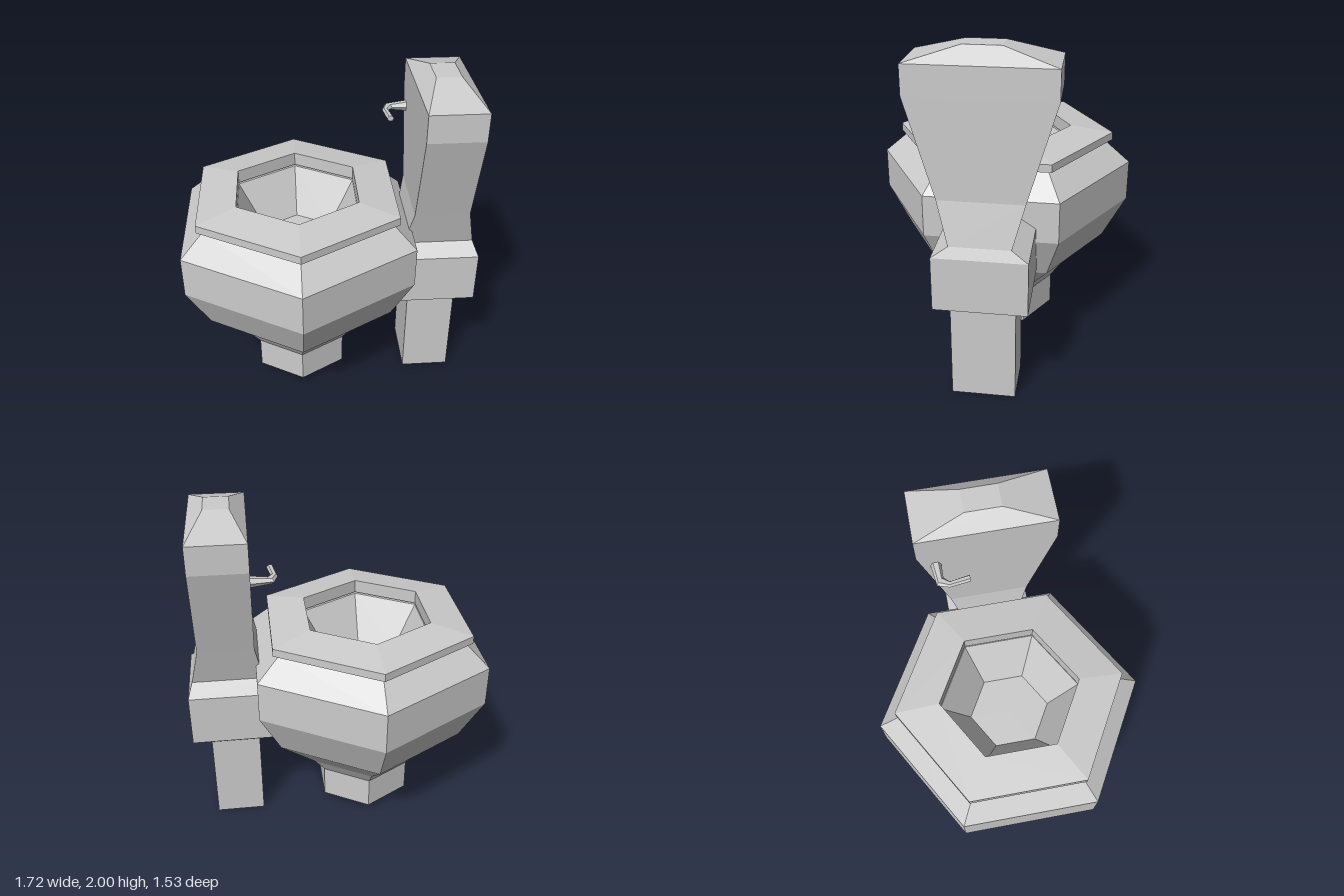
import * as THREE from 'three';

const material = new THREE.MeshStandardMaterial({
  color: 0xcccccc, flatShading: true, side: THREE.DoubleSide,
});

function add(parent, name, geometry) {
  const mesh = new THREE.Mesh(geometry, material);
  mesh.name = name;
  parent.add(mesh);
  return mesh;
}

// Six-sided turned form, one corner pointing to the front
function hexLathe(profile) {
  return new THREE.LatheGeometry(profile.map(([r, y]) => new THREE.Vector2(r, y)), 6);
}

// Skin a series of rings that each hold the same number of [x, y, z] points
function loft(rings, capEnd) {
  const n = rings[0].length;
  const index = [];
  for (let i = 0; i < rings.length - 1; i++) {
    for (let j = 0; j < n; j++) {
      const a = i * n + j, b = i * n + (j + 1) % n;
      index.push(a, b, b + n, a, b + n, a + n);
    }
  }
  if (capEnd) {
    const s = (rings.length - 1) * n;
    for (let j = 1; j < n - 1; j++) index.push(s, s + j, s + j + 1);
  }
  const geometry = new THREE.BufferGeometry();
  geometry.setAttribute('position', new THREE.Float32BufferAttribute(rings.flat(2), 3));
  geometry.setIndex(index);
  geometry.computeVertexNormals();
  return geometry;
}

// Level rectangle used as a cistern cross-section
const rectangle = (y, x0, x1, z) => [[x0, y, z], [x1, y, z], [x1, y, -z], [x0, y, -z]];

export function createModel() {
  const model = new THREE.Group();
  model.name = 'toilet';

  const bowlGroup = new THREE.Group();
  bowlGroup.name = 'bowlGroup';
  bowlGroup.position.x = -0.2;
  model.add(bowlGroup);

  // Bowl: open foot, swelling body, rim, and the basin inside
  add(bowlGroup, 'bowl', hexLathe([
    [0.305, 0.05], [0.305, 0.25], [0.38, 0.35], [0.625, 0.575], [0.765, 0.84],
    [0.765, 1.085], [0.615, 1.215], [0.4, 1.215], [0.235, 0.95], [0, 0.95],
  ]));

  // Seat ring with a gently sloping top
  add(bowlGroup, 'seat', hexLathe([
    [0.4, 1.225], [0.655, 1.225], [0.655, 1.272], [0.4, 1.305], [0.4, 1.225],
  ]));

  // Post, wide block, flaring cistern and bevelled lid in one skin
  add(model, 'cistern', loft([
    rectangle(0, 0.465, 0.755, 0.18),
    rectangle(0.555, 0.465, 0.755, 0.18),
    rectangle(0.615, 0.25, 0.86, 0.255),
    rectangle(0.925, 0.25, 0.86, 0.255),
    rectangle(0.985, 0.42, 0.835, 0.165),
    rectangle(1.22, 0.465, 0.785, 0.23),
    rectangle(1.76, 0.465, 0.785, 0.385),
    rectangle(1.92, 0.465, 0.785, 0.385),
    rectangle(2, 0.55, 0.69, 0.1),
  ], true));

  // Flush lever: a six-sided bar bent forward; [x, z, half width, half height, turn]
  const stations = [
    [0.47, -0.285, 0.03, 0.032, 0],
    [0.36, -0.278, 0.03, 0.018, Math.PI / 4],
    [0.335, -0.23, 0.018, 0.017, 1.4],
    [0.352, -0.115, 0.02, 0.018, Math.PI / 2],
  ];
  const lever = stations.map(([x, z, w, h, turn]) => {
    const ring = [];
    for (let k = 0; k < 6; k++) {
      const a = (k * Math.PI) / 3;
      const across = w * Math.cos(a);
      ring.push([x + across * Math.sin(turn), 1.665 + h * Math.sin(a), z + across * Math.cos(turn)]);
    }
    return ring;
  });
  add(model, 'flushLever', loft(lever, true));

  return model;
}
